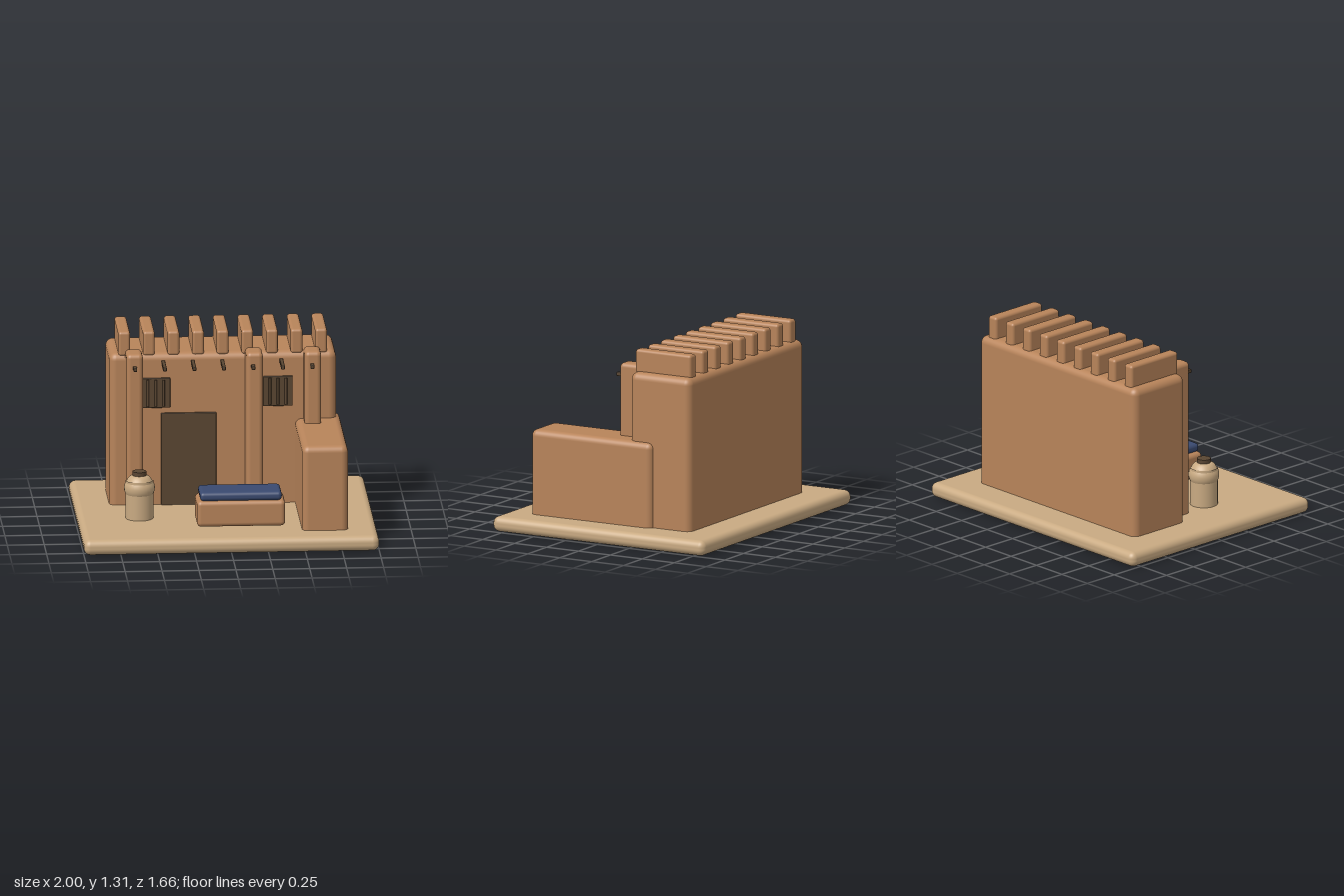
import * as THREE from 'three';
import { RoundedBoxGeometry } from 'three/addons/geometries/RoundedBoxGeometry.js';

const material = (color) => new THREE.MeshStandardMaterial({ color });

export function createModel() {
  const model = new THREE.Group();
  const clay = material(0xb8845a);
  const sand = material(0xc9aa82);
  const wood = material(0x5a4632);
  const cloth = material(0x3a4a70);

  // Rounded block given by its limits on each axis
  const block = (name, mat, [x0, x1], [y0, y1], [z0, z1], radius, parent = model) => {
    const geometry = new RoundedBoxGeometry(x1 - x0, y1 - y0, z1 - z0, 4, radius);
    const mesh = new THREE.Mesh(geometry, mat);
    mesh.position.set((x0 + x1) / 2, (y0 + y1) / 2, (z0 + z1) / 2);
    mesh.name = name;
    parent.add(mesh);
    return mesh;
  };
  const group = (name) => {
    const g = new THREE.Group();
    g.name = name;
    model.add(g);
    return g;
  };

  // Ground slab, house and low side wall
  block('groundSlab', sand, [-1, 1], [0, 0.105], [-0.83, 0.83], 0.045);
  block('house', clay, [-0.768, 0.768], [0.04, 1.16], [-0.59, -0.115], 0.05);
  block('sideWall', clay, [0.49, 0.8], [0.04, 0.69], [-0.305, 0.645], 0.045);

  // Roof ridges
  const ridges = group('roofRidges');
  for (let i = 0; i < 9; i++) {
    const x = (i - 4) * 0.1667;
    block('roofRidge', clay, [x - 0.04, x + 0.04], [1.14, 1.31], [-0.56, -0.125], 0.02, ridges);
  }

  // Buttresses on the front wall
  const buttresses = group('buttresses');
  for (const x of [-0.605, 0.207, 0.602]) {
    block('buttress', clay, [x - 0.056, x + 0.056], [0.05, 1.19], [-0.15, 0.03], 0.03, buttresses);
  }

  // Roof beam ends
  const beams = group('beamEnds');
  for (let i = 0; i < 7; i++) {
    const x = -0.605 + i * 0.2;
    block('beamEnd', wood, [x - 0.0125, x + 0.0125], [1.085, 1.111], [-0.2, 0.082], 0.005, beams);
  }

  // Door and barred windows
  block('door', wood, [-0.418, -0.045], [0.08, 0.745], [-0.14, -0.1], 0.005);
  for (const x of [-0.457, 0.372]) {
    const win = group('window');
    block('windowPanel', wood, [x - 0.1, x + 0.1], [0.783, 0.99], [-0.14, -0.1], 0.005, win);
    for (let i = -1; i <= 1; i++) {
      const bar = new THREE.Mesh(new THREE.CylinderGeometry(0.009, 0.009, 0.185, 10), wood);
      bar.position.set(x + i * 0.054, 0.887, -0.097);
      bar.name = 'windowBar';
      win.add(bar);
    }
  }

  // Bench with cushion
  block('bench', clay, [-0.218, 0.38], [0.118, 0.297], [0.3, 0.565], 0.03);
  block('cushion', cloth, [-0.197, 0.357], [0.295, 0.355], [0.31, 0.555], 0.025);

  // Water jar: straight body, bulging shoulder and stopper
  const jar = group('waterJar');
  jar.position.set(-0.587, 0.1, 0.225);
  const lathe = (name, mat, points) => {
    const profile = points.map(([r, y]) => new THREE.Vector2(r, y));
    const mesh = new THREE.Mesh(new THREE.LatheGeometry(profile, 32), mat);
    mesh.name = name;
    jar.add(mesh);
  };
  lathe('jarBody', sand, [[0, 0], [0.094, 0], [0.094, 0.005], [0.094, 0.2], [0.094, 0.27]]);
  lathe('jarShoulder', sand, [
    [0.088, 0.165], [0.097, 0.18], [0.103, 0.2], [0.104, 0.22], [0.101, 0.24], [0.092, 0.257],
    [0.088, 0.263], [0.08, 0.278], [0.068, 0.292], [0.052, 0.302], [0, 0.308],
  ]);
  const stopper = new THREE.Mesh(new THREE.CylinderGeometry(0.047, 0.047, 0.05, 24), wood);
  stopper.position.y = 0.305;
  stopper.name = 'jarStopper';
  jar.add(stopper);

  return model;
}
